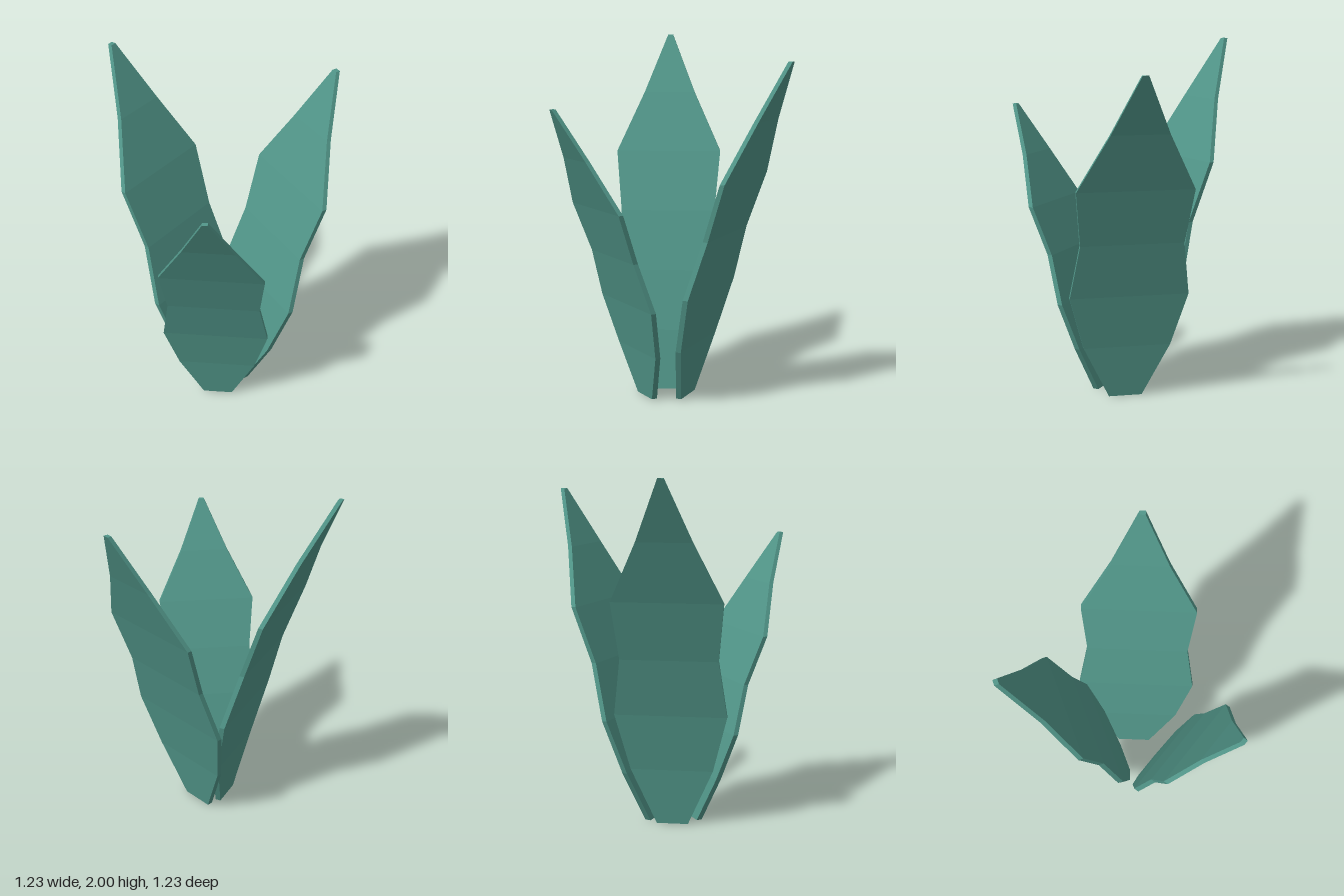
import * as THREE from 'three';

// Half-widths of a leaf from base to tip, at even steps of height
const HALF_WIDTHS = [0.095, 0.247, 0.333, 0.286, 0.32, 0.157, 0.016];

// A flat leaf blade that bends outwards: one four-cornered ring per level
function leafGeometry({ base, angle, height, width, lean, bend }) {
  const dx = Math.sin(angle), dz = Math.cos(angle);
  const last = HALF_WIDTHS.length - 1;
  const rings = HALF_WIDTHS.map((w, i) => {
    const t = i / last;
    const out = lean * t + bend * t * t;
    const half = 0.016 - 0.004 * t;
    return [[1, 1], [1, -1], [-1, -1], [-1, 1]].map(([s, f]) => {
      const across = s * w * width;
      const along = out + f * half;
      return [base[0] + dx * along + dz * across, height * t, base[1] + dz * along - dx * across];
    });
  });

  const positions = [];
  const quad = (a, b, c, d) => positions.push(...a, ...b, ...c, ...a, ...c, ...d);
  for (let i = 0; i < last; i++) {
    const lo = rings[i], hi = rings[i + 1];
    for (let k = 0; k < 4; k++) {
      const n = (k + 1) % 4;
      quad(lo[k], lo[n], hi[n], hi[k]);
    }
  }
  quad(...rings[last]);
  quad(...[...rings[0]].reverse());

  const geometry = new THREE.BufferGeometry();
  geometry.setAttribute('position', new THREE.Float32BufferAttribute(positions, 3));
  geometry.computeVertexNormals();
  return geometry;
}

export function createModel() {
  const group = new THREE.Group();
  group.name = 'plant';
  const leafGreen = new THREE.MeshStandardMaterial({ color: 0x52978a, flatShading: true });
  leafGreen.name = 'leafGreen';

  const leaves = [
    { name: 'tallLeaf', base: [0.02, 0.125], angle: -1.276, height: 2, width: 0.94, lean: 0.26, bend: 0.385 },
    { name: 'backLeaf', base: [0.097, -0.014], angle: 3.054, height: 1.875, width: 1, lean: 0.35, bend: 0.255 },
    { name: 'shortLeaf', base: [0.18, 0.185], angle: 0.855, height: 1.63, width: 0.87, lean: 0.25, bend: 0.3 },
  ];
  for (const leaf of leaves) {
    const mesh = new THREE.Mesh(leafGeometry(leaf), leafGreen);
    mesh.name = leaf.name;
    group.add(mesh);
  }
  return group;
}
